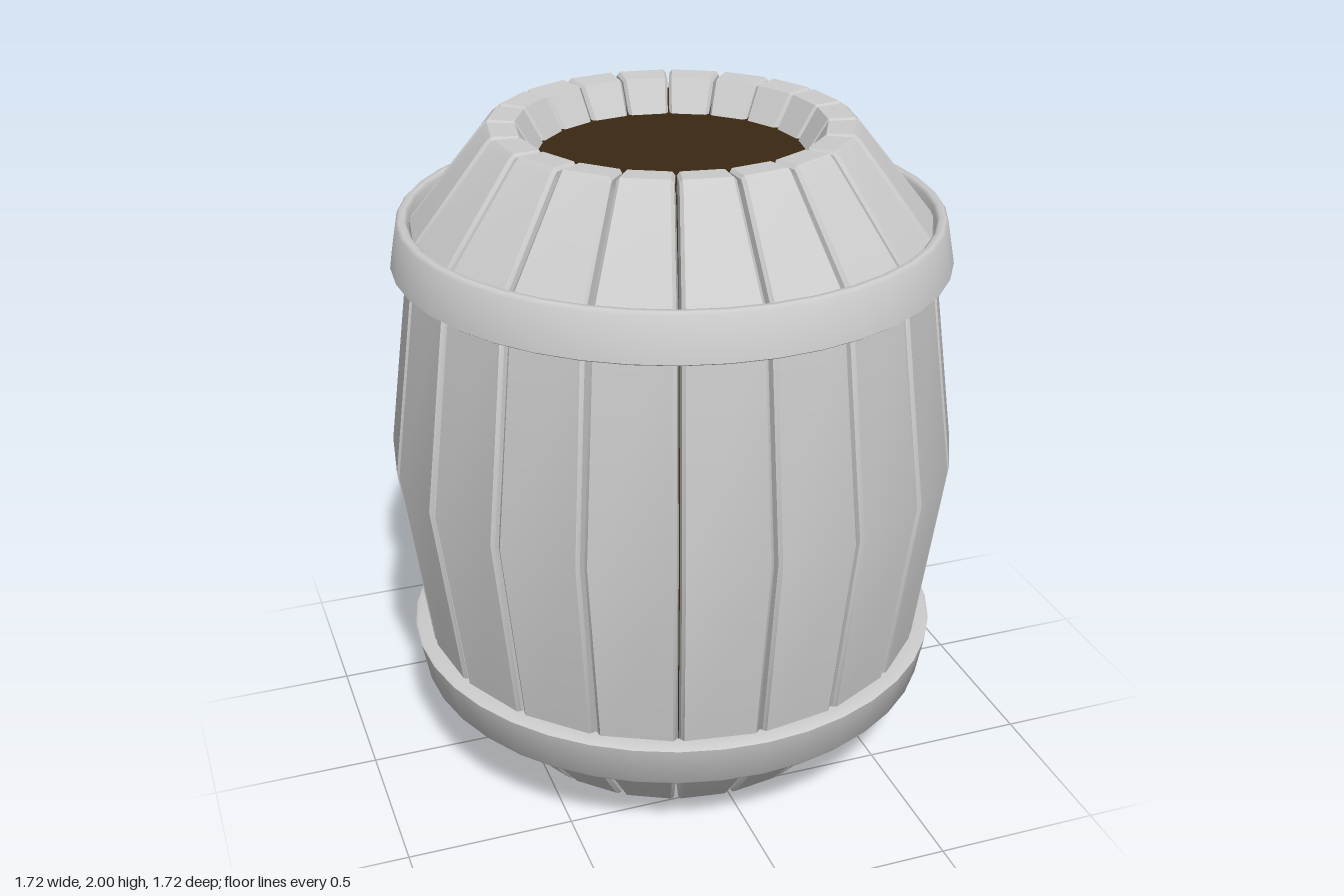
import * as THREE from 'three';
import { toCreasedNormals } from 'three/addons/utils/BufferGeometryUtils.js';

const STAVES = 20;
const HALF = Math.PI / STAVES;
const wood = new THREE.MeshStandardMaterial({ color: 0xcccccc, side: THREE.DoubleSide });
const metal = new THREE.MeshStandardMaterial({ color: 0xcccccc });
const dark = new THREE.MeshStandardMaterial({ color: 0x3a2812 });

// Continue a lower half profile [radius, y] upward, mirrored about y = 1
const mirrorUp = (half) => [...half, ...half.map(([r, y, ...rest]) => [r, 2 - y, ...rest]).reverse()];

function lathe(points, segments, crease) {
  const geo = new THREE.LatheGeometry(points.map(([r, y]) => new THREE.Vector2(r, y)), segments);
  return toCreasedNormals(geo, crease);
}

// One stave: a bevelled cross-section swept along the barrel's profile
function staveGeometry() {
  // [radius, height, half gap to the next stave]
  const lower = [
    [0.39, 0.105, 0.001], [0.45, 0.004, 0.001], [0.53, 0, 0.006],
    [0.547, 0.014, 0.008], [0.767, 0.29, 0.008],
  ];
  const upper = lower.map(([r, y, g]) => [r, 2 - y, g]).reverse();
  const rows = [...lower, [0.862, 1, 0.008], ...upper];
  // [side, inset from the edge, depth below the face]
  const columns = [
    [-1, 0, 0.05], [-1, 0, 0.01], [-1, 0.009, 0], [1, 0.009, 0], [1, 0, 0.01], [1, 0, 0.05],
  ];
  const positions = [];
  const index = [];
  rows.forEach(([r, y, gap], i) => {
    const before = rows[Math.max(i - 1, 0)];
    const after = rows[Math.min(i + 1, rows.length - 1)];
    const normal = new THREE.Vector2(after[1] - before[1], before[0] - after[0]).normalize();
    for (const [side, inset, depth] of columns) {
      positions.push(
        side * (r * Math.sin(HALF) - gap - inset),
        y - normal.y * depth,
        r * Math.cos(HALF) - normal.x * depth,
      );
    }
    if (i === 0) return;
    const n = columns.length;
    for (let j = 0; j < n - 1; j++) {
      const a = (i - 1) * n + j;
      index.push(a, a + 1, a + n + 1, a, a + n + 1, a + n);
    }
  });
  const geo = new THREE.BufferGeometry();
  geo.setAttribute('position', new THREE.Float32BufferAttribute(positions, 3));
  geo.setIndex(index);
  return toCreasedNormals(geo, 0.5);
}

export function createModel() {
  const barrel = new THREE.Group();
  barrel.name = 'barrel';

  // Ring of staves, with a gap on each axis
  const staves = new THREE.Group();
  staves.name = 'staves';
  const geo = staveGeometry();
  for (let i = 0; i < STAVES; i++) {
    const stave = new THREE.Mesh(geo, wood);
    stave.name = 'stave';
    stave.rotation.y = (i + 0.5) * 2 * HALF;
    staves.add(stave);
  }
  barrel.add(staves);

  // Dark core: shows in the gaps and as the two recessed ends
  const core = mirrorUp([[0, 0.1], [0.41, 0.1], [0.5, 0.05], [0.725, 0.31], [0.82, 0.99]]);
  const coreMesh = new THREE.Mesh(lathe(core, 40, 0.5), dark);
  coreMesh.name = 'core';
  barrel.add(coreMesh);

  // Two tapered hoops, mirrored top and bottom
  const section = [
    [0.765, 1.6], [0.818, 1.6], [0.825, 1.605], [0.802, 1.73],
    [0.793, 1.74], [0.777, 1.74], [0.768, 1.73], [0.765, 1.6],
  ];
  const hoops = {
    upperHoop: section,
    lowerHoop: section.map(([r, y]) => [r, 2 - y]).reverse(),
  };
  for (const [name, points] of Object.entries(hoops)) {
    const hoop = new THREE.Mesh(lathe(points, 40, 0.9), metal);
    hoop.name = name;
    barrel.add(hoop);
  }
  return barrel;
}
